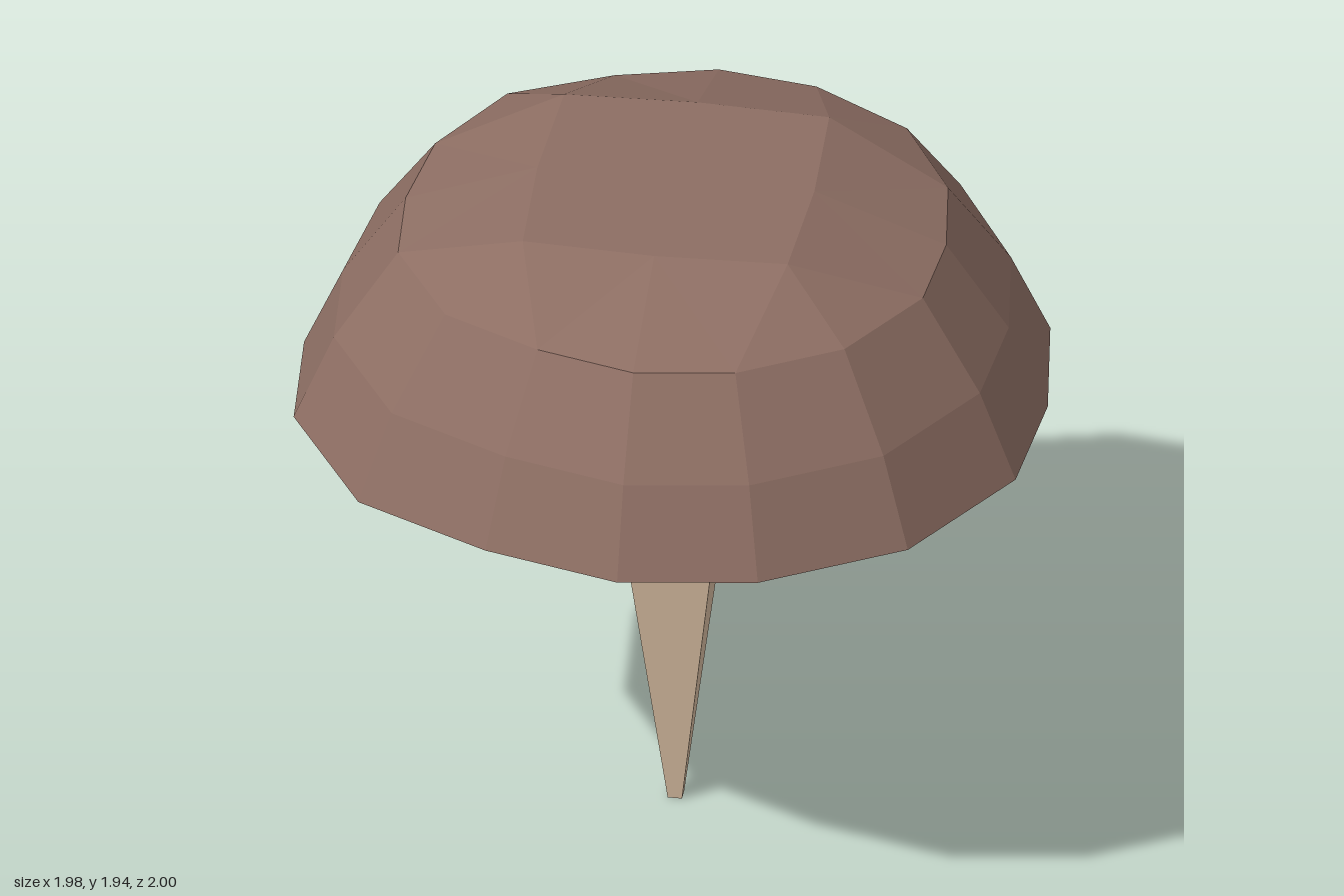
import * as THREE from 'three';

// slightly uneven 16-sided outline (x, z) shared by all round parts
const OUTLINE = [
  [0.988, 0], [0.958, 0.355], [0.73, 0.727], [0.365, 0.942],
  [0, 0.998], [-0.365, 0.902], [-0.73, 0.727], [-0.96, 0.355],
  [-0.988, 0], [-0.937, -0.368], [-0.73, -0.727], [-0.365, -0.905],
  [0, -1], [0.365, -0.945], [0.73, -0.727], [0.937, -0.368],
];
const SIDES = OUTLINE.length;

const ringPoint = (k, scale, y) => {
  const [x, z] = OUTLINE[(k + SIDES) % SIDES];
  return [x * scale, y, z * scale];
};

function facets(positions) {
  const geometry = new THREE.BufferGeometry();
  geometry.setAttribute('position', new THREE.Float32BufferAttribute(positions, 3));
  geometry.computeVertexNormals();
  return geometry;
}

// faceted skin through rings of [scale, y]
function ringSkin(rings) {
  const out = [];
  for (let r = 0; r < rings.length - 1; r++) {
    for (let k = 0; k < SIDES; k++) {
      const a = ringPoint(k + 1, ...rings[r]);
      const b = ringPoint(k, ...rings[r]);
      const c = ringPoint(k, ...rings[r + 1]);
      const d = ringPoint(k + 1, ...rings[r + 1]);
      if (rings[r][0] > 0) out.push(...a, ...b, ...c);
      out.push(...a, ...c, ...d);
    }
  }
  return facets(out);
}

// 4 x 4 patch of facets closing the crown: flat centre, sloping border
function crownPatch(scale, edgeY, topY) {
  const point = (i, j) => {
    if (Math.max(Math.abs(i), Math.abs(j)) === 2) {
      return ringPoint(Math.round(Math.atan2(j, i) / (Math.PI / 8)), scale, edgeY);
    }
    const s = i && j ? 0.352 : 0.368;
    return [i * s, topY, j * s];
  };
  const out = [];
  for (let i = -2; i < 2; i++) {
    for (let j = -2; j < 2; j++) {
      const a = point(i, j), b = point(i, j + 1);
      const c = point(i + 1, j + 1), d = point(i + 1, j);
      // keep the diagonals pointing outward from the centre
      if ((i < 0) === (j < 0)) out.push(...a, ...b, ...c, ...a, ...c, ...d);
      else out.push(...a, ...b, ...d, ...b, ...c, ...d);
    }
  }
  return facets(out);
}

export function createModel() {
  const group = new THREE.Group();
  const capBrown = new THREE.MeshStandardMaterial({ color: 0x8d6e63, flatShading: true });
  capBrown.name = 'capBrown';
  const stemTan = new THREE.MeshStandardMaterial({ color: 0xd7bca0, flatShading: true });
  stemTan.name = 'stemTan';

  const add = (name, geometry, material) => {
    const mesh = new THREE.Mesh(geometry, material);
    mesh.name = name;
    group.add(mesh);
    return mesh;
  };

  // domed cap
  add('capSide', ringSkin([[1, 1.325], [0.895, 1.563], [0.727, 1.807]]), capBrown);
  add('capTop', crownPatch(0.727, 1.807, 1.94), capBrown);

  // hollow underside rising from the rim, then dropping to the stem
  add('capUnderside', ringSkin([[0.3, 1.35], [0.57, 1.49], [1, 1.325]]), stemTan);

  // stubby stem with bevelled foot
  add('stem', ringSkin([[0, 0.96], [0.235, 0.96], [0.355, 1.022], [0.3, 1.35]]), stemTan);

  // square tapering spike
  const spike = new THREE.CylinderGeometry(0.132 * Math.SQRT2, 0.019 * Math.SQRT2, 0.97, 4);
  spike.rotateY(Math.PI / 4);
  add('spike', spike, stemTan).position.y = 0.485;

  return group;
}
